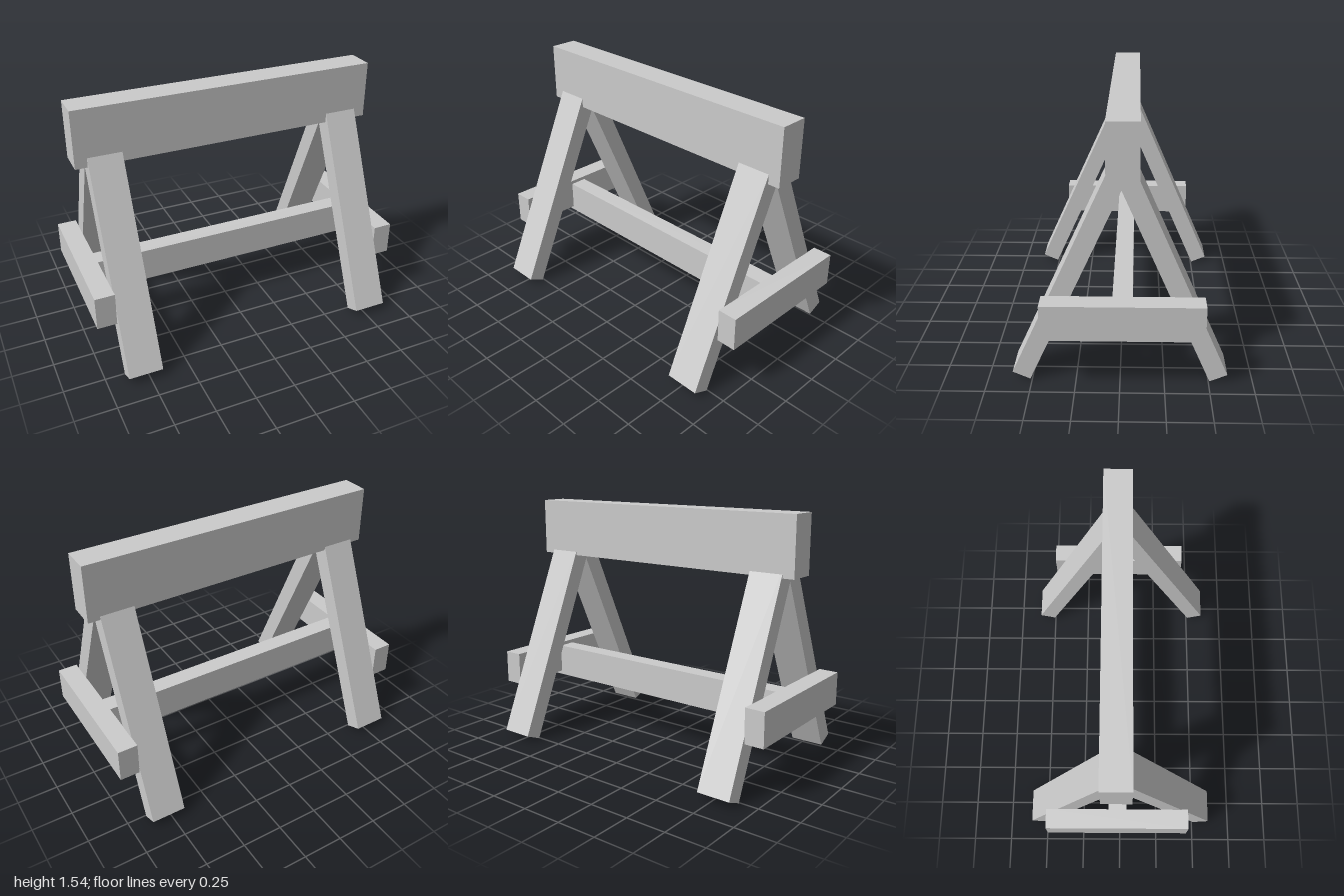
import * as THREE from 'three';

const material = new THREE.MeshStandardMaterial({ color: 0xcccccc, flatShading: true });

// Box given by its extents along each axis
function beam(name, [x0, x1], [y0, y1], [z0, z1]) {
  const mesh = new THREE.Mesh(new THREE.BoxGeometry(x1 - x0, y1 - y0, z1 - z0), material);
  mesh.name = name;
  mesh.position.set((x0 + x1) / 2, (y0 + y1) / 2, (z0 + z1) / 2);
  return mesh;
}

// Square-cut plank leaning from its foot centre towards the top beam
function leg(name, x, footY, footZ, lean) {
  const length = 1.34;
  const geometry = new THREE.BoxGeometry(0.208, length, 0.109);
  geometry.translate(0, length / 2, 0);
  const mesh = new THREE.Mesh(geometry, material);
  mesh.name = name;
  mesh.position.set(x, footY, footZ);
  mesh.rotation.x = THREE.MathUtils.degToRad(lean);
  return mesh;
}

export function createModel() {
  const group = new THREE.Group();
  group.name = 'sawhorse';

  // Long beams
  group.add(beam('topBeam', [-0.955, 0.955], [1.185, 1.54], [-0.105, 0.07]));
  group.add(beam('stretcher', [-0.955, 0.955], [0.307, 0.517], [-0.07, 0.042]));

  // Trestle at each end: two splayed legs and an outer cross rail
  for (const [side, s] of [['left', 1], ['right', -1]]) {
    group.add(leg(side + 'FrontLeg', s * 0.777, 0.031, 0.56, -24.4));
    group.add(leg(side + 'BackLeg', s * 0.777, 0.025, -0.557, 23.4));
    const xs = s > 0 ? [0.88, 1] : [-1, -0.88];
    group.add(beam(side + 'CrossRail', xs, [0.332, 0.54], [-0.465, 0.432]));
  }
  return group;
}
